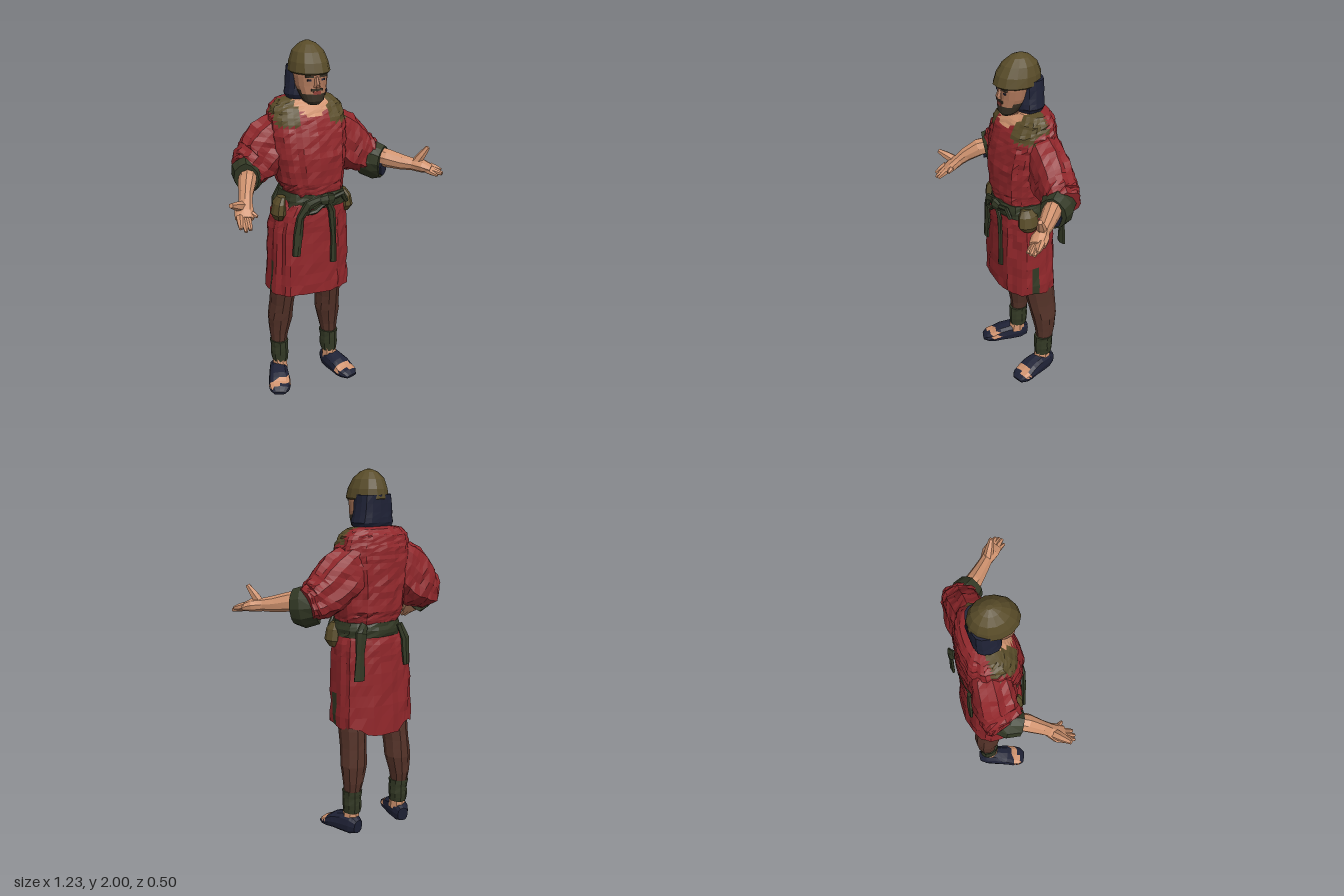
import * as THREE from 'three';

const mat = (name, color) => Object.assign(new THREE.MeshStandardMaterial({ color, side: THREE.DoubleSide }), { name });
const M = {
  red: mat('red cloth', 0x91272b),
  olive: mat('olive cloth', 0x594c29),
  green: mat('dark green cloth', 0x333925),
  skin: mat('skin', 0xd0936f),
  face: mat('tanned face', 0xae775a),
  brown: mat('brown leg', 0x553329),
  navy: mat('navy leather and hair', 0x1f2236),
  beard: mat('dark beard', 0x3a3226),
  lips: mat('lips', 0x8e4038),
};
const MX = -0.075; // middle of the body
const hash = (i, j) => { const s = Math.sin(i * 127.1 + j * 311.7) * 43758.5453; return s - Math.floor(s); };
const V = (x, y, z) => new THREE.Vector3(x, y, z);

// Faceted loft through sections [x, y, z, radiusU, radiusV].
// pick is a material, or a rule giving the material at a face centre.
function loft(name, secs, pick, { n = 8, sub = 1, axis, ref, fold = 0, p = 1, cap = true, warp } = {}) {
  const rows = [];
  for (let i = 0; i < secs.length - 1; i++)
    for (let k = 0; k < sub; k++) rows.push(secs[i].map((a, c) => a + (secs[i + 1][c] - a) * k / sub));
  rows.push(secs[secs.length - 1]);
  const pos = rows.map(r => V(r[0], r[1], r[2]));
  const last = rows.length - 1;
  const whole = pos[last].clone().sub(pos[0]).normalize();
  const up = ref || (Math.abs(whole.y) > 0.8 ? V(1, 0, 0) : V(0, 1, 0));
  const dir = axis && axis.clone().multiplyScalar(Math.sign(axis.dot(whole)));
  const rings = rows.map((r, i) => {
    const t = dir || pos[Math.min(i + 1, last)].clone().sub(pos[Math.max(i - 1, 0)]).normalize();
    const u = up.clone().addScaledVector(t, -up.dot(t)).normalize();
    const v = t.clone().cross(u);
    return Array.from({ length: n }, (_, j) => {
      const a = j / n * Math.PI * 2, c = Math.cos(a), s = Math.sin(a);
      const f = 1 + fold * (1.3 * (hash(j, 3) - 0.5) + 0.9 * (hash(i, j) - 0.5));
      const q = pos[i].clone()
        .addScaledVector(u, Math.sign(c) * Math.abs(c) ** p * r[3] * f)
        .addScaledVector(v, Math.sign(s) * Math.abs(s) ** p * r[4] * f);
      if (warp) warp(q, i / last);
      return q;
    });
  });
  const parts = new Map();
  const tri = (a, b, c) => {
    const m = pick.isMaterial ? pick : pick((a.x + b.x + c.x) / 3, (a.y + b.y + c.y) / 3, (a.z + b.z + c.z) / 3);
    if (!parts.has(m)) parts.set(m, []);
    for (const q of [a, b, c]) parts.get(m).push(q.x, q.y, q.z);
  };
  for (let i = 0; i < last; i++) for (let j = 0; j < n; j++) {
    const k = (j + 1) % n, a = rings[i][j], b = rings[i][k], c = rings[i + 1][k], d = rings[i + 1][j];
    tri(a, b, c); tri(a, c, d);
  }
  if (cap) {
    const mid = r => r.reduce((s, q) => s.add(q), V(0, 0, 0)).divideScalar(n);
    const c0 = mid(rings[0]), c1 = mid(rings[last]);
    for (let j = 0; j < n; j++) {
      const k = (j + 1) % n;
      tri(c0, rings[0][k], rings[0][j]);
      tri(c1, rings[last][j], rings[last][k]);
    }
  }
  const g = new THREE.Group();
  g.name = name;
  for (const [m, arr] of parts) {
    const geo = new THREE.BufferGeometry();
    geo.setAttribute('position', new THREE.Float32BufferAttribute(arr, 3));
    geo.computeVertexNormals();
    const mesh = new THREE.Mesh(geo, m);
    mesh.name = `${name} ${m.name}`;
    g.add(mesh);
  }
  return g;
}

export function createModel() {
  const root = new THREE.Group();
  root.name = 'robedFigure';
  const UP = V(0, 1, 0), Z = V(0, 0, 1);
  const add = (...a) => root.add(loft(...a));
  const box = (name, m, w, h, d, x, y, z, rz = 0) => {
    const b = new THREE.Mesh(new THREE.BoxGeometry(w, h, d), m);
    b.name = name; b.position.set(x, y, z); b.rotation.z = rz;
    root.add(b);
  };

  // Tunic cloth: olive shoulder patches and a round open neckline
  const tunic = (x, y, z) => {
    const d = Math.abs(x - MX);
    if (z > -0.05 && (d / 0.095) ** 2 + ((y - 1.7) / 0.09) ** 2 < 1) return M.skin;
    return y > 1.57 && d > 0.1 - (y - 1.57) * 0.35 && d < 0.205 && z > -0.115 ? M.olive : M.red;
  };
  add('tunicTop', [
    [-0.055, 1.14, -0.055, 0.15, 0.13], [-0.055, 1.2, -0.06, 0.165, 0.155], [-0.065, 1.26, -0.065, 0.185, 0.168],
    [-0.075, 1.4, -0.065, 0.205, 0.168], [-0.075, 1.52, -0.075, 0.215, 0.155], [-0.075, 1.6, -0.085, 0.215, 0.14],
    [-0.075, 1.66, -0.1, 0.195, 0.115], [-0.075, 1.695, -0.105, 0.155, 0.085], [-0.075, 1.705, -0.1, 0.09, 0.06],
  ], tunic, { n: 36, sub: 4, axis: UP, fold: 0.06, p: 0.85 });

  // Skirt with a ragged hem, lower at the back, and green side slits
  add('tunicSkirt', [
    [-0.06, 1.16, -0.055, 0.165, 0.14], [-0.075, 1.08, -0.06, 0.205, 0.152], [-0.08, 0.98, -0.062, 0.217, 0.155],
    [-0.083, 0.8, -0.062, 0.225, 0.16], [-0.085, 0.615, -0.065, 0.23, 0.163],
  ], (x, y, z) => Math.abs(x + 0.08) > 0.17 && y < 0.8 && z > -0.064 && z < -0.021 ? M.green : M.red,
  { n: 34, sub: 3, axis: UP, fold: 0.06, p: 0.78, cap: false, warp: (q, t) => {
    if (t < 1) return;
    q.y += (hash(q.x * 9, q.z * 7) - 0.5) * 0.02;
    if (q.z < -0.18 && q.x > -0.18 && q.x < 0.04) q.y -= 0.04;
  } });

  // Belt, knot, bow loops and hanging ends
  add('belt', [[-0.057, 1.12, -0.06, 0.186, 0.158], [-0.056, 1.16, -0.06, 0.18, 0.166], [-0.056, 1.2, -0.06, 0.17, 0.158]],
    M.green, { n: 26, sub: 2, axis: UP, fold: 0.06, p: 0.85 });
  const ribbon = (name, pts, w = 0.02) =>
    add(name, pts.map(([x, y, z], i) => [x, y, z, 0.012, w * (i % 2 ? 1.1 : 0.85)]), M.green, { n: 6, sub: 2, ref: Z, fold: 0.25 });
  add('beltKnot', [[-0.075, 1.17, 0.11, 0.015, 0.025], [-0.04, 1.175, 0.12, 0.02, 0.035], [0, 1.17, 0.11, 0.015, 0.025]], M.green, { n: 7, ref: Z });
  ribbon('frontTailRight', [[-0.06, 1.18, 0.11], [-0.14, 1.15, 0.107], [-0.185, 1.08, 0.095], [-0.195, 0.98, 0.09], [-0.21, 0.86, 0.09]], 0.028);
  ribbon('frontTailLeft', [[-0.04, 1.18, 0.115], [-0.005, 1.1, 0.108], [0.005, 0.95, 0.108], [0.005, 0.8, 0.11]]);
  ribbon('bowLoop', [[-0.04, 1.16, 0.118], [-0.1, 1.11, 0.11], [-0.15, 1.1, 0.105], [-0.14, 1.15, 0.108]], 0.013);
  ribbon('bowLoopLeft', [[-0.02, 1.17, 0.115], [0.06, 1.19, 0.1], [0.09, 1.14, 0.09]], 0.016);
  ribbon('backTailLeft', [[0.06, 1.2, -0.21], [0.095, 1.16, -0.23], [0.1, 1.04, -0.226], [0.105, 0.9, -0.225]], 0.034);
  ribbon('backTailRight', [[-0.17, 1.18, -0.21], [-0.2, 1.1, -0.22], [-0.21, 0.95, -0.22]], 0.024);

  // Hip pouches hanging over the belt
  for (const [name, x, s] of [['pouchLeft', 0.118, 1], ['pouchRight', -0.272, -1]])
    add(name, [[x - s * 0.014, 1.185, 0, 0.022, 0.035], [x, 1.15, 0, 0.034, 0.055], [x + s * 0.006, 1.09, -0.003, 0.04, 0.06],
      [x, 1.055, -0.008, 0.027, 0.036]], M.olive, { n: 9, axis: UP, ref: V(1, 0, 0), fold: 0.08 });

  // Sleeves, cuffs and dark cuff linings
  const cloth = { n: 18, sub: 4, fold: 0.14 };
  add('sleeveRight', [[-0.17, 1.55, -0.11, 0.115, 0.1], [-0.26, 1.46, -0.115, 0.152, 0.115], [-0.34, 1.375, -0.12, 0.138, 0.118],
    [-0.41, 1.33, -0.11, 0.105, 0.11], [-0.44, 1.322, -0.1, 0.08, 0.09]], tunic, cloth);
  add('sleeveLeft', [[0.02, 1.54, -0.1, 0.115, 0.1], [0.12, 1.45, -0.1, 0.148, 0.11], [0.22, 1.37, -0.1, 0.132, 0.108],
    [0.3, 1.33, -0.095, 0.105, 0.1], [0.345, 1.318, -0.09, 0.085, 0.09]], tunic, cloth);
  const cuff = { n: 12, fold: 0.12 };
  add('cuffRight', [[-0.375, 1.315, -0.12, 0.095, 0.088], [-0.425, 1.31, -0.07, 0.105, 0.088], [-0.445, 1.3, -0.022, 0.09, 0.065]], M.green, cuff);
  add('cuffLeft', [[0.28, 1.31, -0.1, 0.095, 0.09], [0.335, 1.3, -0.05, 0.108, 0.087], [0.365, 1.295, -0.01, 0.092, 0.072]], M.green, cuff);
  add('cuffLiningRight', [[-0.44, 1.29, -0.028, 0.06, 0.045], [-0.448, 1.288, -0.014, 0.06, 0.045]], M.navy);
  add('cuffLiningLeft', [[0.36, 1.28, -0.016, 0.066, 0.05], [0.37, 1.279, -0.004, 0.066, 0.05]], M.navy);

  // Forearms, open palms and fingers
  add('forearmRight', [[-0.41, 1.325, -0.08, 0.05, 0.05], [-0.452, 1.3, 0.01, 0.052, 0.048], [-0.485, 1.255, 0.075, 0.042, 0.038],
    [-0.5, 1.225, 0.11, 0.034, 0.036], [-0.525, 1.185, 0.15, 0.034, 0.05], [-0.535, 1.16, 0.185, 0.022, 0.048]], M.skin, { n: 9, fold: 0.08 });
  add('forearmLeft', [[0.32, 1.335, -0.06, 0.05, 0.05], [0.38, 1.32, 0.01, 0.055, 0.048], [0.44, 1.305, 0.07, 0.045, 0.04],
    [0.485, 1.3, 0.115, 0.036, 0.034], [0.525, 1.295, 0.155, 0.037, 0.046], [0.56, 1.285, 0.19, 0.022, 0.042]], M.skin, { n: 9, fold: 0.08 });
  const finger = (name, a, b, r = 0.017) => {
    const m = a.map((q, i) => (q + b[i]) / 2);
    add(name, [[...a, r * 1.2, r * 1.2], [...m, r, r], [...b, r * 0.55, r * 0.55]], M.skin, { n: 6 });
  };
  finger('thumbRight', [-0.525, 1.21, 0.13], [-0.61, 1.248, 0.195], 0.024);
  finger('indexRight', [-0.56, 1.175, 0.175], [-0.575, 1.13, 0.235]);
  finger('middleRight', [-0.54, 1.165, 0.18], [-0.55, 1.115, 0.245]);
  finger('ringRight', [-0.52, 1.165, 0.18], [-0.525, 1.12, 0.242]);
  finger('littleRight', [-0.5, 1.185, 0.16], [-0.472, 1.17, 0.2], 0.015);
  finger('thumbLeft', [0.495, 1.31, 0.13], [0.547, 1.405, 0.17], 0.023);
  finger('indexLeft', [0.565, 1.295, 0.17], [0.608, 1.28, 0.215]);
  finger('middleLeft', [0.555, 1.285, 0.18], [0.607, 1.265, 0.235]);
  finger('ringLeft', [0.545, 1.28, 0.19], [0.593, 1.268, 0.248]);
  finger('littleLeft', [0.53, 1.28, 0.19], [0.565, 1.262, 0.25], 0.014);

  // Legs, ankle wraps and open-toed sandals; the right foot turns out further
  for (const [side, s] of [['Left', 1], ['Right', -1]]) {
    const X = x => s > 0 ? x : 2 * MX - x;
    const at = rows => rows.map(([x, ...r]) => [X(x), ...r]);
    const turn = (x, z) => X(x + (s > 0 ? 0.006 : 0.034) * (z + 0.19) / 0.26);
    add('leg' + side, at([[0.05, 0.8, -0.07, 0.085, 0.095], [0.064, 0.6, -0.105, 0.073, 0.092], [0.07, 0.5, -0.12, 0.067, 0.085],
      [0.075, 0.4, -0.135, 0.073, 0.075], [0.083, 0.3, -0.14, 0.054, 0.06], [0.087, 0.21, -0.135, 0.04, 0.045]]), M.brown, { n: 10, sub: 2, axis: UP, fold: 0.04 });
    add('ankleWrap' + side, at([[0.085, 0.25, -0.132, 0.054, 0.059], [0.084, 0.21, -0.13, 0.05, 0.056], [0.084, 0.17, -0.13, 0.052, 0.057],
      [0.084, 0.12, -0.13, 0.046, 0.052]]), M.green, { n: 10, sub: 2, axis: UP, fold: 0.08 });
    add('ankle' + side, at([[0.084, 0.14, -0.125, 0.04, 0.046], [0.088, 0.07, -0.12, 0.046, 0.055]]), M.skin, { n: 8, axis: UP });
    add('sandal' + side, [[0.08, 0.045, -0.188, 0.04, 0.03], [0.085, 0.05, -0.15, 0.058, 0.048], [0.095, 0.05, -0.09, 0.062, 0.056],
      [0.107, 0.045, -0.03, 0.05, 0.062], [0.118, 0.03, 0.015, 0.034, 0.064], [0.128, 0.025, 0.05, 0.025, 0.058], [0.135, 0.015, 0.075, 0.012, 0.036]]
      .map(([x, y, z, ...r]) => [turn(x, z), y, z, ...r]),
    (x, y, z) => z > 0.005 && z < 0.045 && y > 0.034 ? M.skin : M.navy,
    { n: 12, sub: 2, p: 0.8, warp: q => { q.y = Math.max(q.y, 0); } });
    for (let k = 0; k < 4; k++) {
      const x = turn(0.09 + k * 0.024, 0.06);
      add(`toe${side}${k}`, [[x, 0.03, 0.025, 0.014, 0.012], [x, 0.026, 0.058 - k * 0.006, 0.012, 0.011], [x, 0.02, 0.07 - k * 0.007, 0.006, 0.006]], M.skin, { n: 6 });
    }
  }

  // Neck, head and beard
  add('neck', [[MX, 1.6, -0.075, 0.07, 0.07], [MX, 1.68, -0.05, 0.055, 0.055], [MX, 1.76, -0.04, 0.055, 0.055]], M.face, { n: 10, axis: UP });
  add('head', [[MX, 1.68, 0.025, 0.03, 0.03], [MX, 1.7, 0.018, 0.055, 0.05], [MX, 1.74, 0.0, 0.073, 0.07], [MX, 1.78, -0.015, 0.085, 0.08],
    [MX, 1.83, -0.02, 0.09, 0.085], [MX, 1.87, -0.03, 0.09, 0.09]],
  (x, y, z) => y < 1.735 || (y < 1.765 && z < 0.025) ? M.beard : M.face, { n: 16, sub: 2, axis: UP, p: 0.9 });
  add('nose', [[MX, 1.83, 0.058, 0.01, 0.012], [MX, 1.79, 0.07, 0.016, 0.017], [MX, 1.775, 0.065, 0.02, 0.015]], M.face, { n: 6, axis: UP });
  box('moustache', M.beard, 0.065, 0.012, 0.012, MX, 1.762, 0.062);
  box('mouth', M.lips, 0.042, 0.018, 0.012, MX, 1.746, 0.064);
  for (const s of [-1, 1]) {
    box('eye', M.navy, 0.026, 0.009, 0.009, MX + s * 0.036, 1.812, 0.056);
    box('brow', M.beard, 0.044, 0.011, 0.014, MX + s * 0.038, 1.832, 0.057, s * 0.12);
  }

  // Long hair and round cap
  add('hair', [[MX, 1.7, -0.088, 0.108, 0.068], [MX, 1.725, -0.087, 0.118, 0.08], [MX, 1.78, -0.09, 0.108, 0.078], [MX, 1.87, -0.093, 0.098, 0.074]],
    M.navy, { n: 16, sub: 2, axis: UP, fold: 0.06, p: 0.8 });
  add('cap', [[MX, 1.842, -0.038, 0.1, 0.125], [MX, 1.85, -0.038, 0.108, 0.133], [MX, 1.9, -0.043, 0.1, 0.122], [MX, 1.95, -0.05, 0.082, 0.095],
    [MX, 1.985, -0.053, 0.045, 0.055], [MX, 2, -0.055, 0.012, 0.016]], M.olive, { n: 14, axis: UP, fold: 0.015 });

  return root;
}
